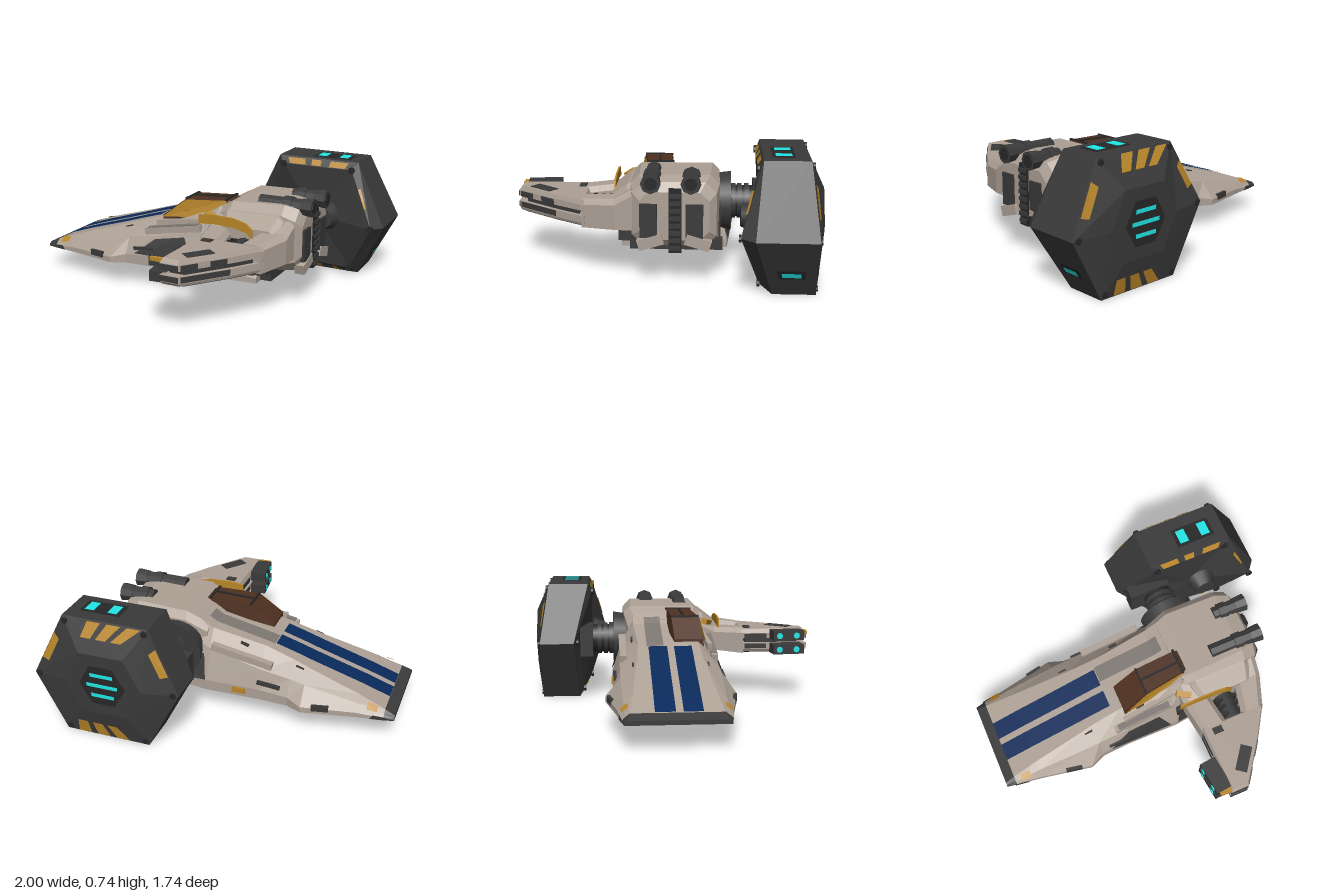
import * as THREE from 'three';

const mat = (name, color, side = THREE.FrontSide) => {
  const m = new THREE.MeshStandardMaterial({ color, side });
  m.name = name;
  return m;
};
const D = THREE.DoubleSide;

export function createModel() {
  const root = new THREE.Group();
  root.name = 'spaceship';
  const beige = mat('beige hull', 0xaea196), dark = mat('dark grey', 0x3a3a3a, D), black = mat('near black', 0x272727, D);
  const blue = mat('blue stripe', 0x0a2a5a, D), orange = mat('orange', 0xb98729, D), cyan = mat('cyan glow', 0x22e6e6, D);
  const glass = mat('brown glass', 0x4e3020), grey = mat('mid grey', 0x7e7772, D);

  const add = (name, geo, m) => {
    const mesh = new THREE.Mesh(geo, m);
    mesh.name = name;
    root.add(mesh);
    return mesh;
  };
  const fromTris = (tris) => {
    const g = new THREE.BufferGeometry();
    g.setAttribute('position', new THREE.Float32BufferAttribute(tris.flat(2), 3));
    g.computeVertexNormals();
    return g;
  };
  // Closed flat-shaded solid through rings of points; faces are turned outwards
  const loft = (name, m, rings) => {
    const tris = [], n = rings[0].length;
    for (let r = 0; r + 1 < rings.length; r++) for (let i = 0; i < n; i++) {
      const j = (i + 1) % n, a = rings[r], b = rings[r + 1];
      tris.push([a[i], a[j], b[j]], [a[i], b[j], b[i]]);
    }
    [rings[0], rings[rings.length - 1]].forEach((ring, end) => {
      const c = [0, 1, 2].map((k) => ring.reduce((s, p) => s + p[k], 0) / n);
      ring.forEach((p, i) => {
        const q = ring[(i + 1) % n];
        tris.push(end ? [c, p, q] : [c, q, p]);
      });
    });
    const v = (p) => new THREE.Vector3(...p);
    const volume = tris.reduce((s, t) => s + v(t[0]).dot(v(t[1]).cross(v(t[2]))), 0);
    return add(name, fromTris(volume < 0 ? tris.map(([a, b, c]) => [a, c, b]) : tris), m);
  };
  // Single thin face
  const panel = (name, m, p) => add(name, fromTris(p.slice(2).map((q, i) => [p[0], p[i + 1], q])), m);
  const box = (name, m, size, pos, rot = [0, 0, 0]) => {
    const b = add(name, new THREE.BoxGeometry(...size), m);
    b.position.set(...pos);
    b.rotation.set(...rot);
    return b;
  };
  const cyl = (name, m, axis, r0, r1, len, pos, sides = 24, twist = 0) => {
    const g = new THREE.CylinderGeometry(r0, r1, len, sides).rotateY(twist);
    if (axis === 'x') g.rotateZ(-Math.PI / 2);
    if (axis === 'z') g.rotateX(Math.PI / 2);
    const geo = sides < 12 ? g.toNonIndexed() : g;
    if (sides < 12) geo.computeVertexNormals();
    add(name, geo, m).position.set(...pos);
  };

  // Wedge hull: x, bottom half width, edge y, shoulder half width, shoulder y, top half width, top y
  const C = -0.05;
  const sections = [
    [-1, 0.28, 0.15, 0.275, 0.16, 0.26, 0.17], [-0.94, 0.29, 0.16, 0.275, 0.175, 0.25, 0.195],
    [-0.78, 0.315, 0.175, 0.28, 0.22, 0.23, 0.25], [-0.47, 0.375, 0.18, 0.29, 0.28, 0.2, 0.345],
    [-0.38, 0.335, 0.2, 0.29, 0.3, 0.19, 0.375], [-0.2, 0.325, 0.21, 0.29, 0.33, 0.18, 0.43],
    [0.12, 0.33, 0.21, 0.27, 0.4, 0.2, 0.5], [0.2, 0.32, 0.2, 0.25, 0.42, 0.2, 0.55], [0.48, 0.3, 0.175, 0.22, 0.25, 0.18, 0.3],
  ];
  const hull = sections.map(([x, hb, ym, hs, ys, ht, yt]) => {
    const half = [[hb, 0.145], [hb, ym], [hs, ys], [ht, yt]];
    return [...half.map(([h, y]) => [x, y, C + h]), ...half.reverse().map(([h, y]) => [x, y, C - h])];
  });
  loft('noseTip', dark, hull.slice(0, 2));
  loft('hull', beige, hull.slice(1));
  const topY = (x) => {
    const i = Math.max(1, sections.findIndex((s) => s[0] >= x)), a = sections[i - 1], b = sections[i];
    return a[6] + (b[6] - a[6]) * (x - a[0]) / (b[0] - a[0]);
  };

  // Stripes following the upper slope, and along the belly
  const ribbon = (name, m, xs, z0, z1) => xs.slice(1).forEach((x, i) => {
    const w = xs[i], y0 = topY(w) + 0.005, y1 = topY(x) + 0.005;
    panel(name, m, [[w, y0, z0], [w, y0, z1], [x, y1, z1], [x, y1, z0]]);
  });
  for (const [z0, z1] of [[-0.17, -0.06], [-0.02, 0.085]]) {
    ribbon('blueStripe', blue, [-0.94, -0.78, -0.47, -0.38, -0.245], z0, z1);
    box('bellyStripe', blue, [1.4, 0.005, 0.11], [-0.23, 0.1435, (z0 + z1) / 2]);
  }
  ribbon('greyBand', grey, [-0.24, -0.2, 0.12, 0.17], -0.18, -0.08);

  // Hull side details, mirrored about the hull centreline
  for (const s of [1, -1]) {
    const side = (name, m, pts) => panel(name, m, pts.map(([x, y, h]) => [x, y, C + s * h]));
    side('noseMark', orange, [[-0.9, 0.192, 0.293], [-0.84, 0.2, 0.298], [-0.84, 0.229, 0.258], [-0.9, 0.215, 0.258]]);
    side('noseEdge', dark, [[-0.95, 0.146, 0.293], [-0.86, 0.146, 0.307], [-0.88, 0.172, 0.303], [-0.95, 0.165, 0.293]]);
    side('rearBay', dark, [[0.13, 0.215, 0.336], [0.47, 0.19, 0.308], [0.42, 0.29, 0.27], [0.15, 0.37, 0.288]]);
    box('sideVent', dark, [0.1, 0.035, 0.02], [-0.58, 0.18, C + s * 0.348], [0, -s * 0.19, 0]);
    for (const x of [-0.68, -0.42, -0.08]) box('slot', dark, [0.05, 0.015, 0.012], [x, topY(x) - 0.02, C + s * 0.215], [0, 0, 0.3]);
    box('sideRail', beige, [0.38, 0.04, 0.04], [-0.08, 0.385, C + s * 0.27], [0, 0, 0.18]);
    box('sideSlot', dark, [0.14, 0.02, 0.02], [-0.26, 0.25, C + s * 0.318], [0, 0, 0.1]);
  }
  panel('sideBay', dark, [[-0.32, 0.215, 0.286], [0.08, 0.217, 0.287], [0.01, 0.355, 0.25], [-0.19, 0.315, 0.25]]);
  box('sideMarker', orange, [0.08, 0.035, 0.01], [-0.08, 0.185, C - 0.332]);

  // Offset cockpit
  const canopyRing = (x, yb, yt, zr, zl, inset) => [[x, yb, zr], [x, yt, zr + inset], [x, yt, zl - inset], [x, yb, zl]];
  loft('cockpitGlass', glass, [
    canopyRing(-0.18, 0.38, 0.45, -0.02, 0.17, 0.01), canopyRing(-0.03, 0.4, 0.565, -0.04, 0.165, 0.02),
    canopyRing(0.22, 0.45, 0.58, -0.05, 0.13, 0.02), canopyRing(0.28, 0.5, 0.56, -0.045, 0.11, 0.02),
  ]);
  panel('sidePane', orange, [[-0.18, 0.44, 0.176], [0.26, 0.48, 0.13], [0.22, 0.575, 0.117], [-0.03, 0.56, 0.152]]);
  box('canopyBar', black, [0.25, 0.012, 0.012], [0.095, 0.575, 0.05], [0, 0.05, 0.06]);
  box('canopyCrossBar', black, [0.012, 0.012, 0.17], [-0.03, 0.565, 0.062]);
  box('canopyRearBar', black, [0.014, 0.012, 0.16], [0.22, 0.58, 0.04]);
  box('canopySill', beige, [0.46, 0.08, 0.03], [0.03, 0.415, 0.18], [0, 0.08, 0.13]);
  box('railCap', grey, [0.34, 0.006, 0.036], [-0.08, 0.408, C + 0.27], [0, 0, 0.18]);

  // Rear engine block
  const blockRing = (x, h, y0, y1, c) => {
    const half = [[h - c, y0], [h, y0 + c], [h, y1 - c], [h - c, y1]];
    return [...half.map(([a, y]) => [x, y, a - 0.06]), ...half.reverse().map(([a, y]) => [x, y, -a - 0.06])];
  };
  loft('engineBlock', beige, [blockRing(0.15, 0.22, 0.2, 0.52, 0.04), blockRing(0.28, 0.245, 0.2, 0.59, 0.04),
    blockRing(0.6, 0.245, 0.21, 0.6, 0.05), blockRing(0.68, 0.23, 0.22, 0.58, 0.06), blockRing(0.71, 0.19, 0.26, 0.53, 0.05)]);
  box('basePlate', dark, [0.1, 0.055, 0.52], [0.5, 0.18, -0.065]);
  box('spine', black, [0.06, 0.36, 0.07], [0.69, 0.37, -0.065]);
  for (let i = 0; i < 8; i++) box('spineRib', dark, [0.02, 0.022, 0.06], [0.722, 0.22 + i * 0.042, -0.065]);
  for (const s of [1, -1]) {
    const z = -0.043 + s * 0.108;
    box('rearVent', dark, [0.03, 0.19, 0.095], [0.71, 0.37, -0.045 + s * 0.125]);
    box('rearBrace', beige, [0.06, 0.06, 0.14], [0.7, 0.25, -0.06 + s * 0.13], [s * 0.3, 0, 0]);
    // Thrusters on the roof
    const len = s > 0 ? 0.3 : 0.18;
    cyl('thruster', dark, 'x', 0.047, 0.045, len, [0.72 - len / 2, 0.585, z], 8);
    cyl('thrusterNozzle', dark, 'x', 0.056, 0.05, 0.07, [0.715, 0.585, z], 8);
    cyl('thrusterMouth', black, 'x', 0.036, 0.036, 0.006, [0.751, 0.585, z], 8);
    cyl('thrusterRing', dark, 'x', 0.055, 0.055, 0.05, [0.6, 0.585, z], 8);
  }
  box('flankPanel', dark, [0.2, 0.16, 0.01], [0.55, 0.34, -0.307]);
  box('flankMachinery', dark, [0.42, 0.15, 0.09], [0.34, 0.275, 0.215]);

  // Forked weapon wing on the +z side
  const armRing = (z, x0, x1, y0, y1) => [[x0, y0, z], [x0, y1 - 0.03, z], [x0 + 0.03, y1, z], [x1 - 0.03, y1, z], [x1, y1 - 0.03, z], [x1, y0, z]];
  loft('frontArm', beige, [armRing(0.13, 0.15, 0.32, 0.36, 0.53), armRing(0.27, 0.17, 0.33, 0.32, 0.465), armRing(0.46, 0.2, 0.36, 0.29, 0.45)]);
  loft('rearArm', beige, [armRing(0.13, 0.48, 0.68, 0.3, 0.55), armRing(0.27, 0.5, 0.67, 0.3, 0.47), armRing(0.46, 0.46, 0.6, 0.29, 0.45)]);
  loft('shoulder', beige, [armRing(0.13, 0.24, 0.62, 0.36, 0.57), armRing(0.2, 0.24, 0.62, 0.36, 0.545), armRing(0.285, 0.27, 0.6, 0.36, 0.48)]);
  // Orange guard curving over the front of the shoulder
  const arc = [[0.13, 0.5], [0.22, 0.51], [0.35, 0.505], [0.43, 0.485], [0.47, 0.45]];
  loft('orangeGuard', orange, arc.map(([x, y]) => [[x, y - 0.03, 0.284], [x, y + 0.025, 0.284], [x, y + 0.025, 0.294], [x, y - 0.03, 0.294]]));
  box('guardRoot', orange, [0.09, 0.03, 0.035], [0.18, 0.5, 0.22], [0.3, -0.5, 0]);

  const plan = [[0.2, 0.44], [0.61, 0.44], [0.5, 0.61], [0.31, 0.865], [0.2, 0.865]];
  const slab = (y, k) => plan.map(([x, z]) => [0.36 + (x - 0.36) * k, y, 0.62 + (z - 0.62) * k]);
  loft('upperWing', beige, [slab(0.385, 1), slab(0.42, 1), slab(0.445, 0.93)]);
  loft('lowerWing', beige, [slab(0.3, 0.95), slab(0.315, 1), slab(0.355, 1)]);
  loft('wingUnderside', dark, [slab(0.293, 0.85), slab(0.301, 0.88)]);
  loft('wingCore', dark, [slab(0.35, 0.8), slab(0.39, 0.8)]);
  for (const [y, spots] of [[0.4, [0.25, 0.8]], [0.336, [0.2, 0.5, 0.8]]]) {
    box('wingTipCap', dark, [0.11, 0.032, 0.008], [0.255, y, 0.865]);
    box('wingEdgeFront', dark, [0.008, 0.03, 0.14], [0.2, y, 0.54]);
    for (const t of spots) {
      box('wingEdgePatch', dark, [0.008, 0.032, 0.1], [0.5 - 0.19 * t, y, 0.61 + 0.255 * t], [0, -0.64, 0]);
    }
  }
  cyl('armPiston', dark, 'z', 0.055, 0.055, 0.2, [0.42, 0.37, 0.36], 12);
  for (const z of [0.32, 0.36, 0.41]) box('pistonPlate', black, [0.14, 0.1, 0.02], [0.42, 0.37, z]);
  box('wingVent', dark, [0.07, 0.012, 0.16], [0.35, 0.443, 0.71], [0, -0.65, 0]);
  box('wingHatch', dark, [0.06, 0.012, 0.04], [0.285, 0.447, 0.49]);
  for (const y of [0.414, 0.326]) {
    box('cannon', dark, [0.1, 0.06, 0.2], [0.158, y, 0.735], [0, 0.1, 0]);
    for (const z of [0.68, 0.79]) cyl('muzzle', cyan, 'x', 0.02, 0.02, 0.006, [0.1065 + (z - 0.735) * 0.1, y, z], 8);
  }
  box('cannonTip', orange, [0.07, 0.02, 0.03], [0.17, 0.43, 0.845]);

  // Joint between hull and pod
  cyl('jointBase', dark, 'z', 0.16, 0.17, 0.08, [0.33, 0.38, -0.33]);
  cyl('jointNeck', black, 'z', 0.09, 0.09, 0.3, [0.33, 0.38, -0.42]);
  for (const z of [-0.385, -0.42, -0.46]) cyl('jointRing', dark, 'z', 0.1, 0.1, 0.025, [0.33, 0.38, z]);
  box('jointBlock', dark, [0.26, 0.18, 0.08], [0.28, 0.38, -0.54]);
  cyl('podKnob', dark, 'z', 0.06, 0.09, 0.08, [0.63, 0.38, -0.46], 12);

  // Hexagonal side pod
  const hex = [[0.1, 0.38], [0.29, 0.735], [0.81, 0.735], [1, 0.35], [0.82, 0.002], [0.3, 0.002]];
  const hexRing = (k, zs) => hex.map(([x, y], i) => [0.55 + (x - 0.55) * k, 0.37 + (y - 0.37) * k, zs[i]]);
  const cap = hexRing(0.52, Array(6).fill(-0.86));
  const rim = hexRing(1, [-0.83, -0.778, -0.778, -0.82, -0.825, -0.825]);
  const inRim = hexRing(1, [-0.62, -0.53, -0.53, -0.49, -0.59, -0.59]);
  const inCap = hexRing(0.87, [-0.6, -0.505, -0.505, -0.415, -0.52, -0.56]);
  loft('pod', dark, [cap, rim, inRim, inCap]);

  // Patch lying on a pod face between two rings
  const mix = (a, b, t) => a.map((v, i) => v + (b[i] - v) * t);
  const patch = (name, m, A, B, e, t0, t1, s0, s1, off, slant = 0) => {
    const at = (t, s) => mix(mix(A[e], A[(e + 1) % 6], t), mix(B[e], B[(e + 1) % 6], t), s).map((v, i) => v + off[i]);
    panel(name, m, [at(t0, s0), at(t1, s0), at(t1 + slant, s1), at(t0 + slant, s1)]);
  };
  for (const t of [0.06, 0.3, 0.54]) {
    patch('hazardStripe', orange, rim, cap, 1, t, t + 0.16, 0.05, 0.54, [0, 0.002, -0.005], 0.14);
    patch('hazardStripe', orange, rim, cap, 4, t + 0.08, t + 0.24, 0.05, 0.54, [0, -0.002, -0.005], -0.1);
  }
  patch('hazardStripe', orange, rim, cap, 0, 0.3, 0.72, 0.04, 0.28, [-0.002, 0.002, -0.005]);
  patch('hazardStripe', orange, rim, cap, 2, 0.28, 0.72, 0.04, 0.28, [0.003, 0.002, -0.005]);
  for (const [t, w] of [[0.1, 0.23], [0.42, 0.13], [0.67, 0.23]]) {
    patch('innerMark', orange, inRim, inCap, 1, t, t + w, 0.25, 0.97, [0, 0.004, 0.005]);
  }
  for (const [t, w] of [[0.2, 0.07], [0.43, 0.12], [0.8, 0.12]]) {
    patch('innerMark', orange, inRim, inCap, 4, t, t + w, 0.2, 0.95, [0, -0.004, 0.005]);
  }
  patch('innerMark', orange, inRim, inCap, 2, 0.33, 0.66, 0.5, 1, [0.002, 0.001, 0.005]);
  patch('sideLightFrame', black, rim, inRim, 3, 0.52, 0.68, 0.24, 0.77, [0.004, -0.002, 0]);
  patch('sideLight', cyan, rim, inRim, 3, 0.56, 0.64, 0.32, 0.69, [0.008, -0.004, 0]);

  // Pod lights and outer hexagonal grille
  box('roofLightFrame', black, [0.24, 0.008, 0.12], [0.62, 0.735, -0.64]);
  for (const x of [0.55, 0.69]) box('roofLight', cyan, [0.056, 0.008, 0.088], [x, 0.737, -0.64]);
  cyl('grilleFrame', dark, 'z', 0.19, 0.2, 0.01, [0.55, 0.37, -0.86], 6, Math.PI / 6);
  cyl('grille', black, 'z', 0.14, 0.14, 0.008, [0.55, 0.37, -0.863], 6, Math.PI / 6);
  for (const i of [-1, 0, 1]) box('grilleLight', cyan, [0.19 - 0.05 * Math.abs(i), 0.022, 0.006], [0.55, 0.37 + i * 0.065, -0.866]);
  hex.forEach((_, i) => {
    cyl('bolt', black, 'z', 0.018, 0.018, 0.012, mix(rim[i], cap[i], 0.16), 8);
    cyl('bolt', black, 'z', 0.022, 0.022, 0.014, mix(inRim[i], inCap[i], 1.05), 8);
  });

  return root;
}
